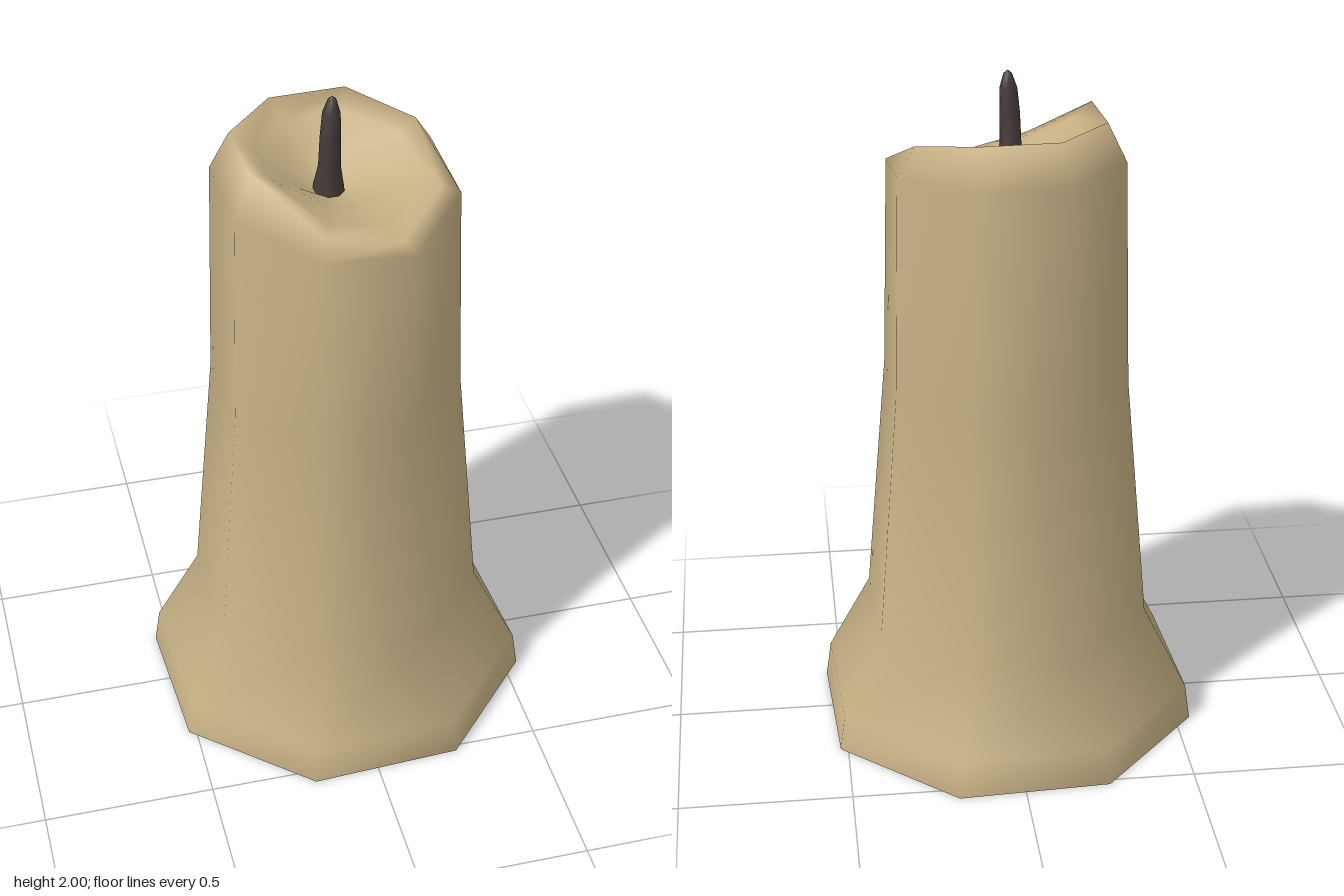
import * as THREE from 'three';

const SIDES = 8;
const START = THREE.MathUtils.degToRad(19.6);

// Skin a stack of octagonal rings; each ring is { r, y, x, z } and y may be one height or one per corner
function loft(rings) {
  const pos = [];
  const index = [];
  rings.forEach(({ r, y, x = 0, z = 0 }, j) => {
    for (let i = 0; i < SIDES; i++) {
      const a = START + (i / SIDES) * Math.PI * 2;
      pos.push(x + r * Math.cos(a), Array.isArray(y) ? y[i] : y, z + r * Math.sin(a));
      if (j === 0) continue;
      const n = (i + 1) % SIDES;
      const lo = (j - 1) * SIDES;
      const hi = j * SIDES;
      index.push(lo + i, hi + i, lo + n, hi + i, hi + n, lo + n);
    }
  });
  const geo = new THREE.BufferGeometry();
  geo.setAttribute('position', new THREE.Float32BufferAttribute(pos, 3));
  geo.setIndex(index);
  geo.computeVertexNormals();
  return geo;
}

export function createModel() {
  const group = new THREE.Group();
  group.name = 'candle';
  const wax = new THREE.MeshStandardMaterial({ color: 0xc6b084 });
  wax.name = 'wax';
  const char = new THREE.MeshStandardMaterial({ color: 0x453b39 });
  char.name = 'charredWick';

  const add = (name, geo, mat) => {
    const mesh = new THREE.Mesh(geo, mat);
    mesh.name = name;
    group.add(mesh);
    return mesh;
  };

  // Slanted rim: low at the front left, high at the back right
  const rim = [1.74, 1.68, 1.735, 1.865, 1.87, 1.87, 1.87, 1.83];
  const shoulder = [1.72, 1.665, 1.69, 1.75, 1.76, 1.76, 1.76, 1.75];
  const mix = (level, t) => rim.map((h) => level + (h - level) * t);

  // Wax body with spread foot, tapering sides, rounded rim and melted hollow
  add('waxBody', loft([
    { r: 0.578, y: 0 },
    { r: 0.562, y: 0.11 },
    { r: 0.43, y: 0.36 },
    { r: 0.364, y: 1.1 },
    { r: 0.346, y: shoulder },
    { r: 0.29, y: rim },
    { r: 0.225, y: mix(1.74, 0.7) },
    { r: 0.13, y: mix(1.73, 0.25) },
    { r: 0.04, y: 1.71, x: -0.015 },
    { r: 0, y: 1.71, x: -0.015 },
  ]), wax);

  // Flat underside
  const base = add('underside', new THREE.CircleGeometry(0.578, SIDES, START), wax);
  base.rotation.x = Math.PI / 2;

  // Slightly bent wick with a pointed tip
  add('wick', loft([
    { r: 0.046, y: 1.69, x: -0.018 },
    { r: 0.042, y: 1.73, x: -0.018 },
    { r: 0.031, y: 1.79, x: -0.016, z: 0.003 },
    { r: 0.029, y: 1.88, x: -0.014, z: 0.006 },
    { r: 0.025, y: 1.95, x: -0.01, z: 0.001 },
    { r: 0.012, y: 1.99, x: -0.008, z: 0.001 },
    { r: 0, y: 2, x: -0.008, z: 0.001 },
  ]), char);

  return group;
}
